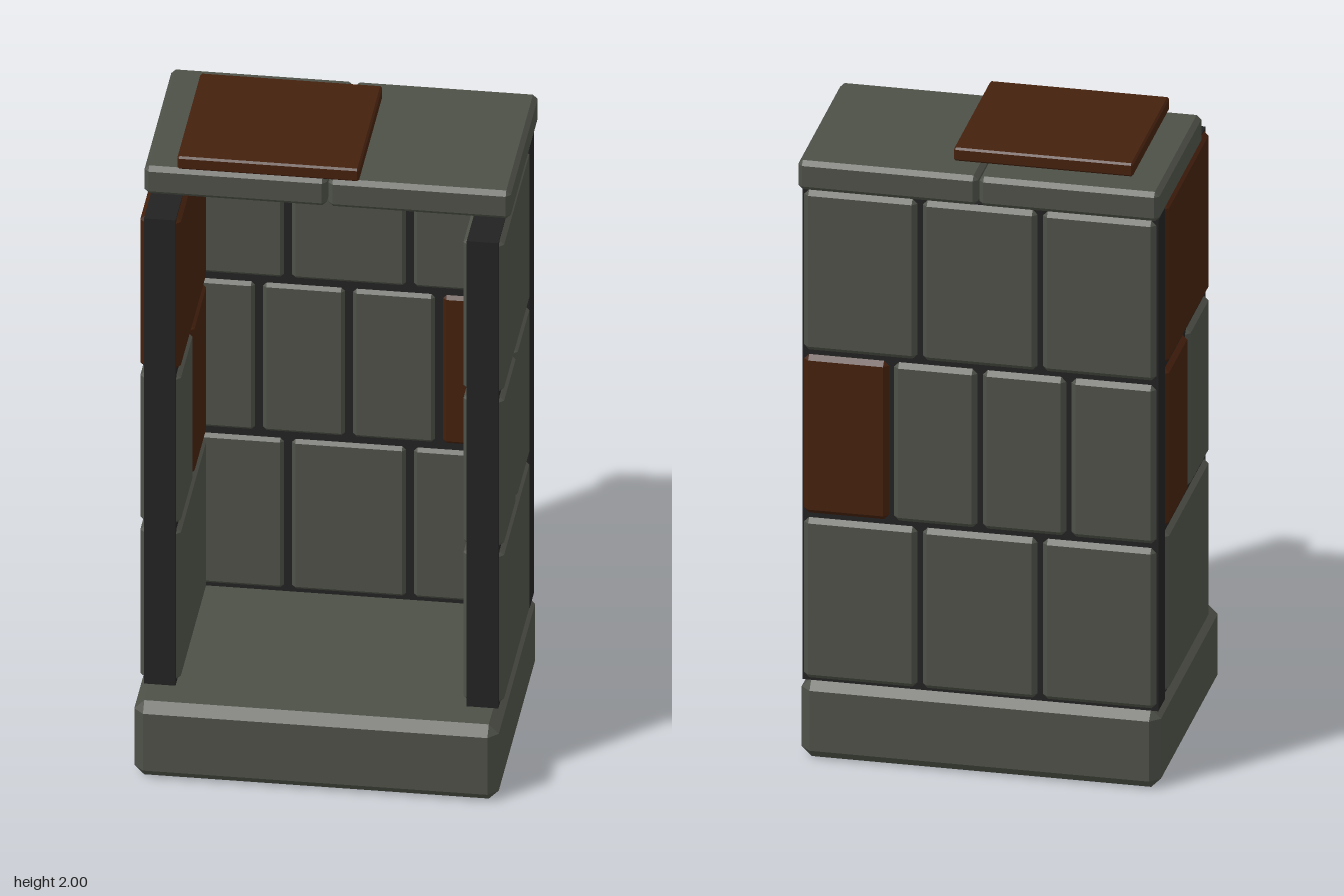
import * as THREE from 'three';
import { ConvexGeometry } from 'three/addons/geometries/ConvexGeometry.js';

const material = (name, color) => {
  const m = new THREE.MeshStandardMaterial({ color });
  m.name = name;
  return m;
};

// Box between two corners with every edge cut by a flat bevel c
function bevelBox([x0, y0, z0], [x1, y1, z1], c) {
  const h = [(x1 - x0) / 2, (y1 - y0) / 2, (z1 - z0) / 2];
  const points = [];
  for (const sx of [-1, 1]) for (const sy of [-1, 1]) for (const sz of [-1, 1]) {
    for (let full = 0; full < 3; full++) {
      const p = h.map((v, i) => (i === full ? v : v - c));
      points.push(new THREE.Vector3(sx * p[0], sy * p[1], sz * p[2]));
    }
  }
  return new ConvexGeometry(points).translate((x0 + x1) / 2, (y0 + y1) / 2, (z0 + z1) / 2);
}

function plainBox([x0, y0, z0], [x1, y1, z1]) {
  return new THREE.BoxGeometry(x1 - x0, y1 - y0, z1 - z0)
    .translate((x0 + x1) / 2, (y0 + y1) / 2, (z0 + z1) / 2);
}

export function createModel() {
  const stone = material('grey stone', 0x4d5047);
  const mortar = material('dark mortar', 0x222222);
  const rust = material('rust brown', 0x44200c);

  const model = new THREE.Group();
  model.name = 'brickHearth';
  const add = (parent, name, geometry, mat) => {
    const mesh = new THREE.Mesh(geometry, mat);
    mesh.name = name;
    parent.add(mesh);
  };

  // Base block
  add(model, 'base', bevelBox([-0.547, 0, -0.41], [0.547, 0.255, 0.427], 0.03), stone);

  const rows = [[0.262, 0.786], [0.799, 1.317], [1.33, 1.853]];

  // Back wall: mortar core with bricks standing proud on both faces
  const back = new THREE.Group();
  back.name = 'backWall';
  model.add(back);
  add(back, 'backMortar', plainBox([-0.542, 0.255, -0.395], [0.542, 1.855, -0.3]), mortar);
  const thirds = [[-0.537, -0.19], [-0.176, 0.176], [0.19, 0.537]];
  const quarters = [[-0.537, -0.277], [-0.263, -0.007], [0.007, 0.263], [0.277, 0.537]];
  rows.forEach(([y0, y1], r) => {
    (r === 1 ? quarters : thirds).forEach(([x0, x1], i) => {
      add(back, 'backBrick', bevelBox([x0, y0, -0.41], [x1, y1, -0.289], 0.016),
        r === 1 && i === 3 ? rust : stone);
    });
  });

  // Side walls: one brick, two bricks, one brick
  for (const s of [-1, 1]) {
    const wall = new THREE.Group();
    wall.name = s < 0 ? 'rightWall' : 'leftWall';
    model.add(wall);
    const span = (a, b) => (s < 0 ? [-b, -a] : [a, b]);
    const [m0, m1] = span(0.437, 0.532);
    const [b0, b1] = span(0.424, 0.546);
    add(wall, 'sideMortar', plainBox([m0, 0.255, -0.285], [m1, 1.855, 0.3]), mortar);
    rows.forEach(([y0, y1], r) => {
      const bricks = r === 1 ? [[-0.28, 0.0], [0.014, 0.292]] : [[-0.28, 0.292]];
      bricks.forEach(([z0, z1], i) => {
        const painted = s < 0 && (r === 2 || (r === 1 && i === 0));
        add(wall, 'sideBrick', bevelBox([b0, y0, z0], [b1, y1, z1], 0.016), painted ? rust : stone);
      });
    });
  }

  // Two roof slabs and the loose plate on top
  add(model, 'roofSlabRight', bevelBox([-0.55, 1.86, -0.428], [-0.002, 1.955, 0.172], 0.014), stone);
  add(model, 'roofSlabLeft', bevelBox([0.002, 1.86, -0.428], [0.55, 1.955, 0.172], 0.014), stone);
  add(model, 'topPlate', bevelBox([-0.45, 1.957, -0.33], [0.096, 2, 0.174], 0.006), rust);

  return model;
}
